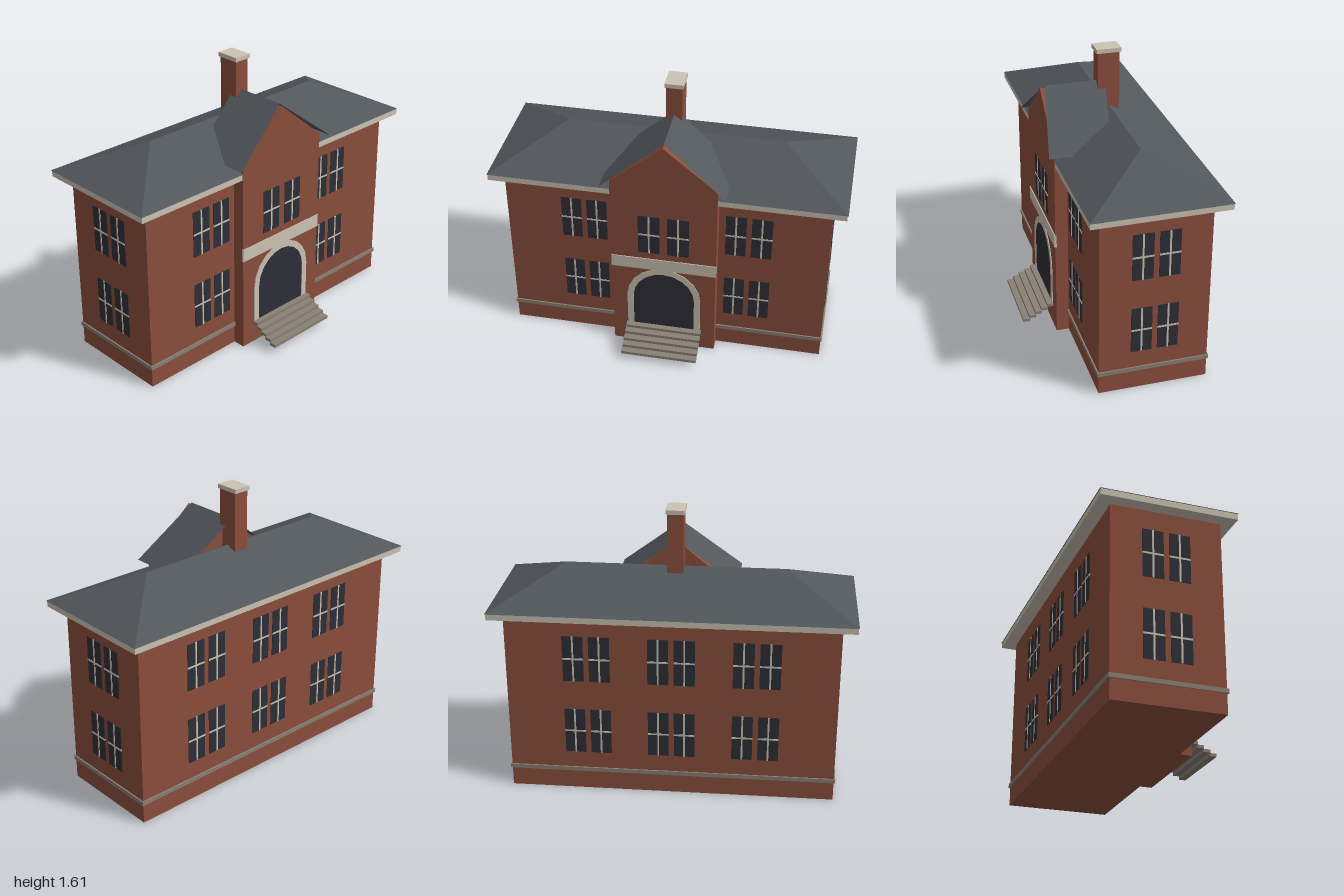
import * as THREE from 'three';

const mat = (name, color, side = THREE.FrontSide) => {
  const m = new THREE.MeshStandardMaterial({ color, side });
  m.name = name;
  return m;
};

export function createModel() {
  const brick = mat('brick', 0x8b4e3d);
  const trim = mat('pale trim', 0xcbc3b3);
  const stone = mat('grey stone', 0x8a8075);
  const slate = mat('slate roof', 0x52575c, THREE.DoubleSide);
  const glass = mat('dark glass', 0x2e2f38);

  const model = new THREE.Group();
  model.name = 'schoolhouse';

  const add = (name, geometry, material, parent = model) => {
    const mesh = new THREE.Mesh(geometry, material);
    mesh.name = name;
    parent.add(mesh);
    return mesh;
  };
  // Box given by its lower and upper limits on each axis
  const box = (name, material, [x0, x1], [y0, y1], [z0, z1], parent) => {
    const g = new THREE.BoxGeometry(x1 - x0, y1 - y0, z1 - z0);
    g.translate((x0 + x1) / 2, (y0 + y1) / 2, (z0 + z1) / 2);
    return add(name, g, material, parent);
  };
  // Flat faces, each a convex loop of corners counter-clockwise from outside
  const faces = (loops) => {
    const p = [];
    for (const l of loops)
      for (let i = 1; i < l.length - 1; i++) p.push(...l[0], ...l[i], ...l[i + 1]);
    const g = new THREE.BufferGeometry();
    g.setAttribute('position', new THREE.Float32BufferAttribute(p, 3));
    g.computeVertexNormals();
    return g;
  };

  // Walls
  box('mainWalls', brick, [-0.92, 0.92], [0, 1.07], [-0.39, 0.22]);
  box('entranceBay', brick, [-0.3, 0.3], [0, 1.1], [0.2, 0.292]);
  box('stringCourse', stone, [-0.928, 0.928], [0.112, 0.136], [-0.398, 0.228])
  box('bayFaceAtCourse', brick, [-0.3, 0.3], [0.1, 0.15], [0.2, 0.2915]);

  // Eaves and hipped roof
  box('eaves', trim, [-0.995, 0.995], [1.065, 1.1], [-0.466, 0.288]);
  const a = [-1, 1.1, 0.29], b = [1, 1.1, 0.29], c = [1, 1.1, -0.47], d = [-1, 1.1, -0.47];
  const r0 = [-0.615, 1.275, -0.09], r1 = [0.615, 1.275, -0.09];
  add('hippedRoof', faces([[a, b, r1, r0], [b, c, r1], [c, d, r0, r1], [d, a, r0]]), slate);

  // Entrance gable with its two roof slopes
  const gable = new THREE.Shape([[-0.3, 1.1], [0.3, 1.1], [0.3, 1.155], [0, 1.405], [-0.3, 1.155]]
    .map(([x, y]) => new THREE.Vector2(x, y)));
  const gableGeo = new THREE.ExtrudeGeometry(gable, { depth: 0.34, bevelEnabled: false });
  gableGeo.translate(0, 0, -0.048);
  add('gable', gableGeo, brick);
  const slopes = faces([
    [[0, 1.415, 0.265], [0.348, 1.14, 0.33], [0.348, 1.14, -0.015], [0, 1.415, -0.08]],
    [[0, 1.415, -0.08], [-0.348, 1.14, -0.015], [-0.348, 1.14, 0.33], [0, 1.415, 0.265]],
  ]);
  add('gableRoof', slopes, slate);

  // Chimney
  box('chimney', brick, [-0.045, 0.045], [1.1, 1.59], [-0.147, -0.027]);
  box('chimneyCap', trim, [-0.052, 0.052], [1.588, 1.612], [-0.157, -0.017]);

  // Pair of windows with glazing bars, built facing +z about its own centre
  const windowPair = (x, y, z, turn = 0, w = 0.116, h = 0.272, offset = 0.073) => {
    const pair = new THREE.Group();
    pair.name = 'windowPair';
    for (const s of [-1, 1]) {
      const cx = s * offset;
      box('pane', glass, [cx - w / 2, cx + w / 2], [-h / 2, h / 2], [-0.002, 0.003], pair);
      box('uprightBar', trim, [cx - 0.005, cx + 0.005], [-h / 2, h / 2], [0, 0.005], pair);
      box('crossBar', trim, [cx - w / 2, cx + w / 2], [-0.005, 0.005], [0, 0.005], pair);
    }
    pair.position.set(x, y, z);
    pair.rotation.y = turn;
    model.add(pair);
  };
  for (const y of [0.372, 0.819]) {
    for (const s of [-1, 1]) {
      windowPair(s * 0.47, y, 0.22);
      windowPair(s * 0.92, y, -0.087, s * Math.PI / 2);
    }
    for (const x of [-0.47, 0, 0.47]) windowPair(x, y, -0.39, Math.PI);
  }
  windowPair(0, 0.813, 0.292, 0, 0.123, 0.258, 0.083);

  // Arched doorway and its surround
  const arch = (Type, r, base, spring) => {
    const pts = [new THREE.Vector2(r, base)];
    for (let i = 0; i <= 10; i++) {
      const t = (i / 10) * Math.PI;
      pts.push(new THREE.Vector2(r * Math.cos(t), spring + r * Math.sin(t)));
    }
    pts.push(new THREE.Vector2(-r, base));
    return new Type(pts);
  };
  const plate = (shape, depth) => {
    const g = new THREE.ExtrudeGeometry(shape, { depth, bevelEnabled: false });
    return g.translate(0, 0, 0.291);
  };
  add('door', plate(arch(THREE.Shape, 0.178, 0.13, 0.355), 0.003), glass);
  const surround = arch(THREE.Shape, 0.215, 0.13, 0.355);
  surround.holes.push(arch(THREE.Path, 0.178, 0.1301, 0.355));
  add('doorSurround', plate(surround, 0.005), trim);
  box('doorBand', trim, [-0.302, 0.302], [0.563, 0.64], [0.285, 0.297]);

  // Open steps
  for (let i = 0; i < 5; i++) {
    const z = 0.471 - i * 0.036, y = 0.04 + i * 0.02;
    box('step', stone, [-0.222, 0.222], [y, y + 0.018], [z - 0.04, z]);
  }
  return model;
}
